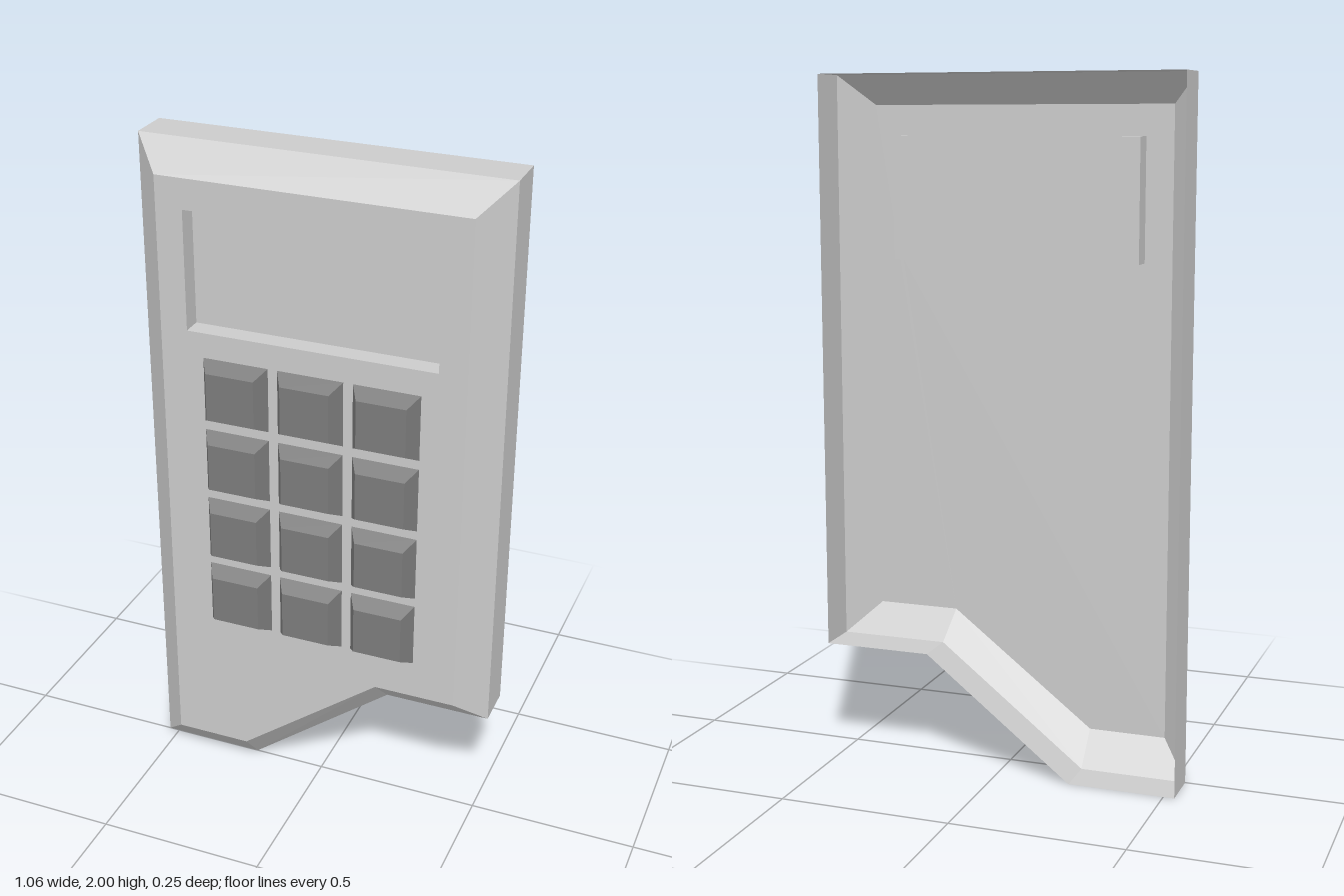
import * as THREE from 'three';

const FACE_Z = 0.083, RIM_Z = 0, BACK_Z = -0.125;

const makeMaterial = (color) => new THREE.MeshStandardMaterial({
  color, flatShading: true, side: THREE.DoubleSide,
});

// Corners of a rectangle, counter-clockwise seen from the front
const rect = (x0, y0, x1, y1) => [[x0, y0], [x1, y0], [x1, y1], [x0, y1]];

// Flat-sided wall between matching outlines, listed from back to front as { points, z }
function wall(rings) {
  const pos = [];
  for (let r = 0; r < rings.length - 1; r++) {
    const a = rings[r], b = rings[r + 1], n = a.points.length;
    for (let i = 0; i < n; i++) {
      const j = (i + 1) % n;
      const p = [...a.points[i], a.z], q = [...a.points[j], a.z];
      const s = [...b.points[j], b.z], t = [...b.points[i], b.z];
      pos.push(...p, ...q, ...s, ...p, ...s, ...t);
    }
  }
  const g = new THREE.BufferGeometry();
  g.setAttribute('position', new THREE.Float32BufferAttribute(pos, 3));
  g.computeVertexNormals();
  return g;
}

// Flat panel facing the front, with an optional opening
function panel(points, z, hole) {
  const toVectors = (list) => list.map(([x, y]) => new THREE.Vector2(x, y));
  const shape = new THREE.Shape(toVectors(points));
  if (hole) shape.holes.push(new THREE.Path(toVectors(hole).reverse()));
  return new THREE.ShapeGeometry(shape).translate(0, 0, z);
}

export function createModel() {
  const model = new THREE.Group();
  const bodyMat = makeMaterial(0xcccccc);
  const screenMat = makeMaterial(0xf0f0f0);
  const keyMat = makeMaterial(0x7c7c7c);

  const add = (name, geometry, material, parent = model) => {
    const mesh = new THREE.Mesh(geometry, material);
    mesh.name = name;
    parent.add(mesh);
    return mesh;
  };

  // Casing: hollow shell with a bevelled front edge, open at the back
  const outer = [[-0.532, 0], [-0.22, 0], [0.215, 0.34], [0.532, 0.34], [0.532, 2], [-0.532, 2]];
  const inner = [[-0.448, 0.095], [-0.22, 0.095], [0.205, 0.422], [0.447, 0.422], [0.447, 1.916], [-0.448, 1.916]];
  const opening = rect(-0.368, 1.477, 0.367, 1.828);
  add('casingSides', wall([
    { points: outer, z: BACK_Z },
    { points: outer, z: RIM_Z },
    { points: inner, z: FACE_Z },
  ]), bodyMat);
  add('casingFace', panel(inner, FACE_Z, opening), bodyMat);

  // Recessed display
  const screenZ = FACE_Z - 0.06;
  add('screenRecess', wall([
    { points: opening, z: screenZ },
    { points: opening, z: FACE_Z },
  ]), bodyMat);
  add('screen', panel(opening, screenZ), screenMat);

  // Keypad: three columns by four rows of tapered keys
  const half = 0.0975, topHalf = 0.072, keyZ = 0.045;
  const base = rect(-half, -half, half, half);
  const top = rect(-topHalf, -topHalf, topHalf, topHalf);
  const sideGeometry = wall([{ points: base, z: 0 }, { points: top, z: keyZ }]);
  const topGeometry = panel(top, keyZ);
  const keypad = new THREE.Group();
  keypad.name = 'keypad';
  model.add(keypad);
  for (let row = 0; row < 4; row++) {
    for (let col = 0; col < 3; col++) {
      const key = new THREE.Group();
      key.name = `key${row * 3 + col + 1}`;
      key.position.set((col - 1) * 0.223, 1.305 - row * 0.2227, FACE_Z);
      add('keySides', sideGeometry, keyMat, key);
      add('keyTop', topGeometry, keyMat, key);
      keypad.add(key);
    }
  }
  return model;
}
